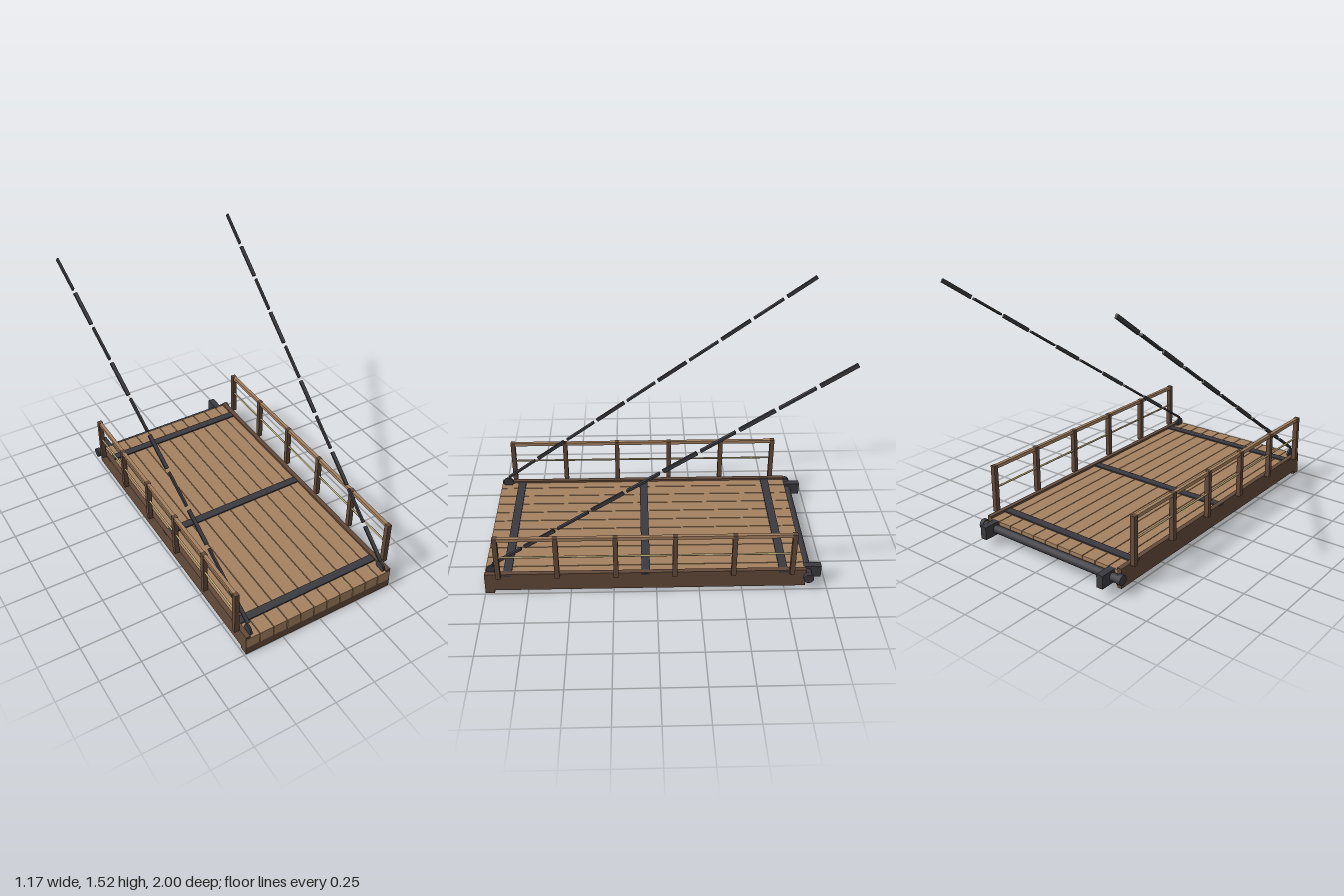
import * as THREE from 'three';

const paint = (name, color) => {
  const m = new THREE.MeshStandardMaterial({ color });
  m.name = name;
  return m;
};

export function createModel() {
  const plankWood = paint('plank wood', 0xa58160);
  const darkWood = paint('dark wood', 0x634a3a);
  const iron = paint('dark iron', 0x3a3a40);
  const rope = paint('rope', 0xb3a272);

  const model = new THREE.Group();
  model.name = 'drawbridge';

  const add = (name, geometry, material, x, y, z, parent = model) => {
    const mesh = new THREE.Mesh(geometry, material);
    mesh.name = name;
    mesh.position.set(x, y, z);
    parent.add(mesh);
    return mesh;
  };
  // Box given by its limits on each axis
  const box = (name, material, [x0, x1], [y0, y1], [z0, z1], parent) =>
    add(name, new THREE.BoxGeometry(x1 - x0, y1 - y0, z1 - z0), material,
      (x0 + x1) / 2, (y0 + y1) / 2, (z0 + z1) / 2, parent);
  // Round bar along x
  const barX = (name, material, radius, length, sides, x, y, z) => {
    const g = new THREE.CylinderGeometry(radius, radius, length, sides).rotateZ(Math.PI / 2);
    return add(name, g, material, x, y, z);
  };

  // Deck planks with narrow open gaps
  for (let i = -5; i <= 5; i++) {
    const x = i * 0.0892;
    box('deckPlank', plankWood, [x - 0.0422, x + 0.0422], [0.052, 0.122], [-0.87, 1]);
  }

  // Beam under the front edge
  box('frontBeam', darkWood, [-0.49, 0.49], [0, 0.052], [0.946, 1]);

  // Iron straps across the deck
  for (const z of [-0.741, 0.063, 0.867]) {
    box('ironStrap', iron, [-0.491, 0.491], [0.118, 0.13], [z - 0.025, z + 0.025]);
  }

  // Hinge axle behind the deck
  barX('hingeAxle', iron, 0.024, 1.0, 12, 0, 0.085, -0.89);

  for (const side of [-1, 1]) {
    const span = (a, b) => (side > 0 ? [a, b] : [-b, -a]);

    // Long edge beam
    box('sideBeam', darkWood, span(0.462, 0.49), [0.02, 0.135], [-0.872, 0.998]);

    // Railing with posts, handrail and rope
    const railing = new THREE.Group();
    railing.name = 'railing';
    model.add(railing);
    for (let i = 0; i < 6; i++) {
      const z = 0.915 - i * 0.34;
      box('railingPost', darkWood, span(0.491, 0.52), [0.125, 0.413], [z - 0.014, z + 0.014], railing);
    }
    box('handrail', plankWood, span(0.495, 0.516), [0.391, 0.412], [-0.785, 0.915], railing);
    const line = new THREE.CylinderGeometry(0.006, 0.006, 1.7, 8).rotateX(Math.PI / 2);
    add('railingRope', line, rope, side * 0.5055, 0.273, 0.065, railing);

    // Hinge collar and wall bracket
    barX('hingeCollar', iron, 0.03, 0.026, 12, side * 0.5, 0.085, -0.887);
    box('hingeBracket', iron, span(0.405, 0.445), [0.047, 0.123], [-0.97, -0.865]);

    // Chain anchor on the front corner
    barX('chainAnchor', iron, 0.034, 0.012, 8, side * 0.45, 0.141, 0.957);

    // Chain of flat links, each turned a quarter from the last
    const chain = new THREE.Group();
    chain.name = 'chain';
    model.add(chain);
    const start = new THREE.Vector3(side * 0.448, 0.175, 0.96);
    const end = new THREE.Vector3(side * 0.581, 1.522, -1.008);
    const pitch = start.distanceTo(end) / 10;
    const link = new THREE.BoxGeometry(0.022, 0.012, pitch * 0.9);
    for (let i = 0; i < 10; i++) {
      const p = start.clone().lerp(end, (i + 0.5) / 10);
      const mesh = add('chainLink', link, iron, p.x, p.y, p.z, chain);
      mesh.lookAt(end);
      if (i % 2) mesh.rotateZ(Math.PI / 2);
    }
  }
  return model;
}
